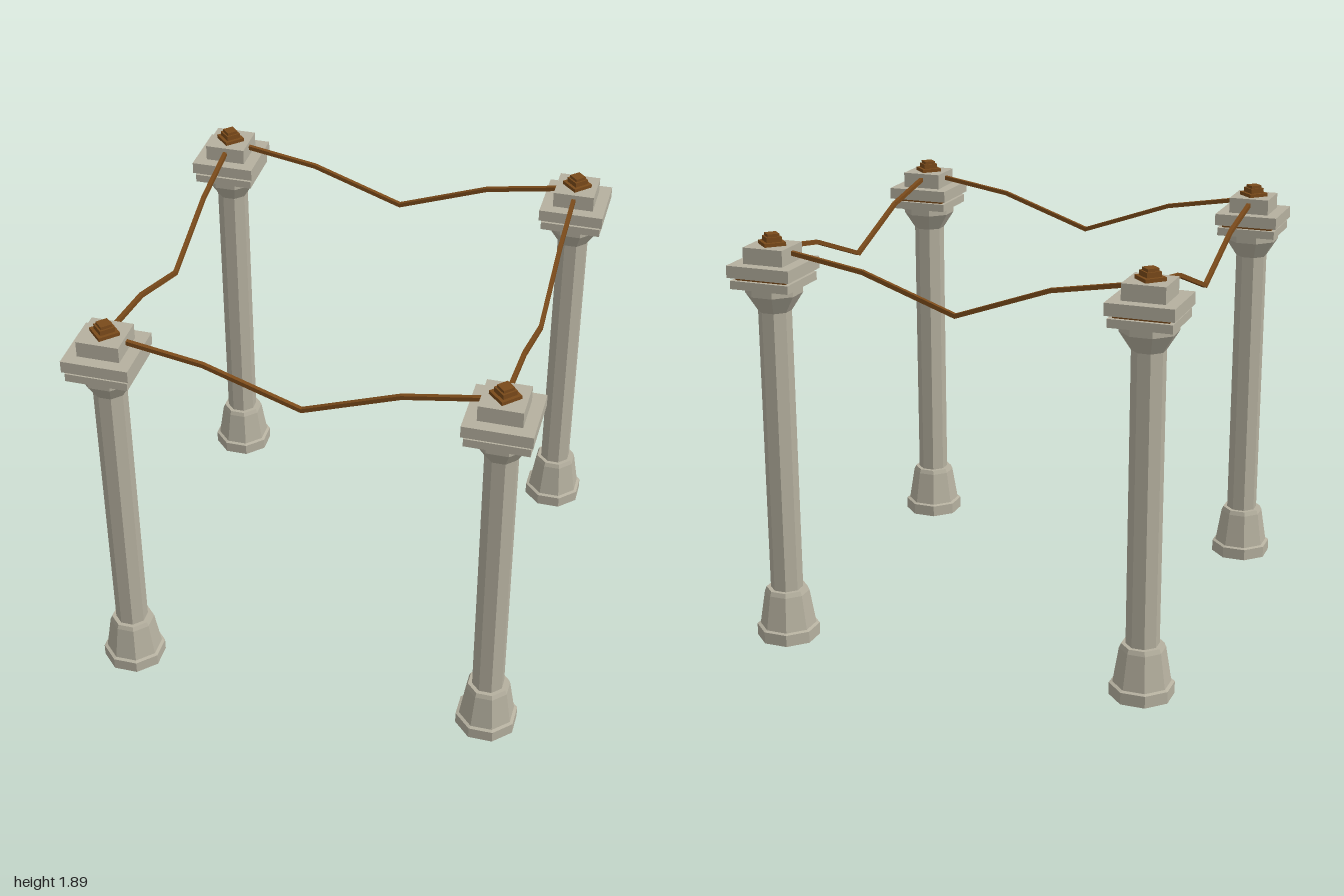
import * as THREE from 'three';

const stone = new THREE.MeshStandardMaterial({ color: 0xb5b09f });
stone.name = 'stone';
stone.flatShading = true;
const bronze = new THREE.MeshStandardMaterial({ color: 0x7a4a1a });
bronze.name = 'bronze';
bronze.flatShading = true;

const SPAN = 0.85; // distance of each column from the centre lines

function add(parent, name, geometry, material) {
  const mesh = new THREE.Mesh(geometry, material);
  mesh.name = name;
  parent.add(mesh);
  return mesh;
}

// Faceted turned shape; profile is [radius, height] from bottom to top
function turned(profile, sides, start, scale = 1) {
  const points = profile.map(([r, y]) => new THREE.Vector2(r * scale, y));
  return new THREE.LatheGeometry(points, sides, start).toNonIndexed();
}

// Octagon with flat sides facing the axes; profile gives half widths
const octagon = (profile) => turned(profile, 8, Math.PI / 8, 1 / Math.cos(Math.PI / 8));

function slab(parent, name, half, y0, y1, material) {
  const mesh = add(parent, name, new THREE.BoxGeometry(half * 2, y1 - y0, half * 2), material);
  mesh.position.y = (y0 + y1) / 2;
}

function createColumn() {
  const column = new THREE.Group();
  column.name = 'column';
  // Octagonal foot, shaft and flared capital
  add(column, 'base', octagon([
    [0, 0], [0.132, 0], [0.132, 0.055], [0.118, 0.06], [0.094, 0.22], [0.086, 0.24], [0.06, 0.24],
  ]), stone);
  add(column, 'shaft', octagon([[0.068, 0.23], [0.068, 1.55]]), stone);
  add(column, 'capital', octagon([[0.068, 1.55], [0.116, 1.63], [0.116, 1.67]]), stone);
  // Square slabs with a bronze band between them
  slab(column, 'lowerSlab', 0.138, 1.665, 1.702, stone);
  slab(column, 'band', 0.12, 1.702, 1.716, bronze);
  slab(column, 'upperSlab', 0.148, 1.716, 1.77, stone);
  slab(column, 'topBlock', 0.094, 1.77, 1.842, stone);
  // Stepped diamond finial
  add(column, 'finial', turned([
    [0.068, 1.84], [0.068, 1.858], [0.048, 1.858], [0.048, 1.88], [0.037, 1.88], [0.037, 1.893], [0, 1.893],
  ], 4, 0), bronze);
  return column;
}

// Sagging rope made of four straight square pieces
function createRope() {
  const rope = new THREE.Group();
  rope.name = 'rope';
  const path = [[-0.79, 1.818], [-0.425, 1.757], [0, 1.606], [0.425, 1.757], [0.79, 1.818]];
  for (let i = 0; i < path.length - 1; i++) {
    const [x0, y0] = path[i];
    const [x1, y1] = path[i + 1];
    const length = Math.hypot(x1 - x0, y1 - y0) + 0.005;
    const piece = add(rope, 'ropePiece', new THREE.BoxGeometry(length, 0.019, 0.019), bronze);
    piece.position.set((x0 + x1) / 2, (y0 + y1) / 2, 0);
    piece.rotation.z = Math.atan2(y1 - y0, x1 - x0);
  }
  return rope;
}

export function createModel() {
  const model = new THREE.Group();
  model.name = 'ropedColumns';
  for (const x of [-SPAN, SPAN]) {
    for (const z of [-SPAN, SPAN]) {
      const column = createColumn();
      column.position.set(x, 0, z);
      model.add(column);
    }
  }
  // One rope along each side of the square
  for (let i = 0; i < 4; i++) {
    const angle = (i * Math.PI) / 2;
    const rope = createRope();
    rope.position.set(Math.sin(angle) * SPAN, 0, Math.cos(angle) * SPAN);
    rope.rotation.y = angle;
    model.add(rope);
  }
  return model;
}
